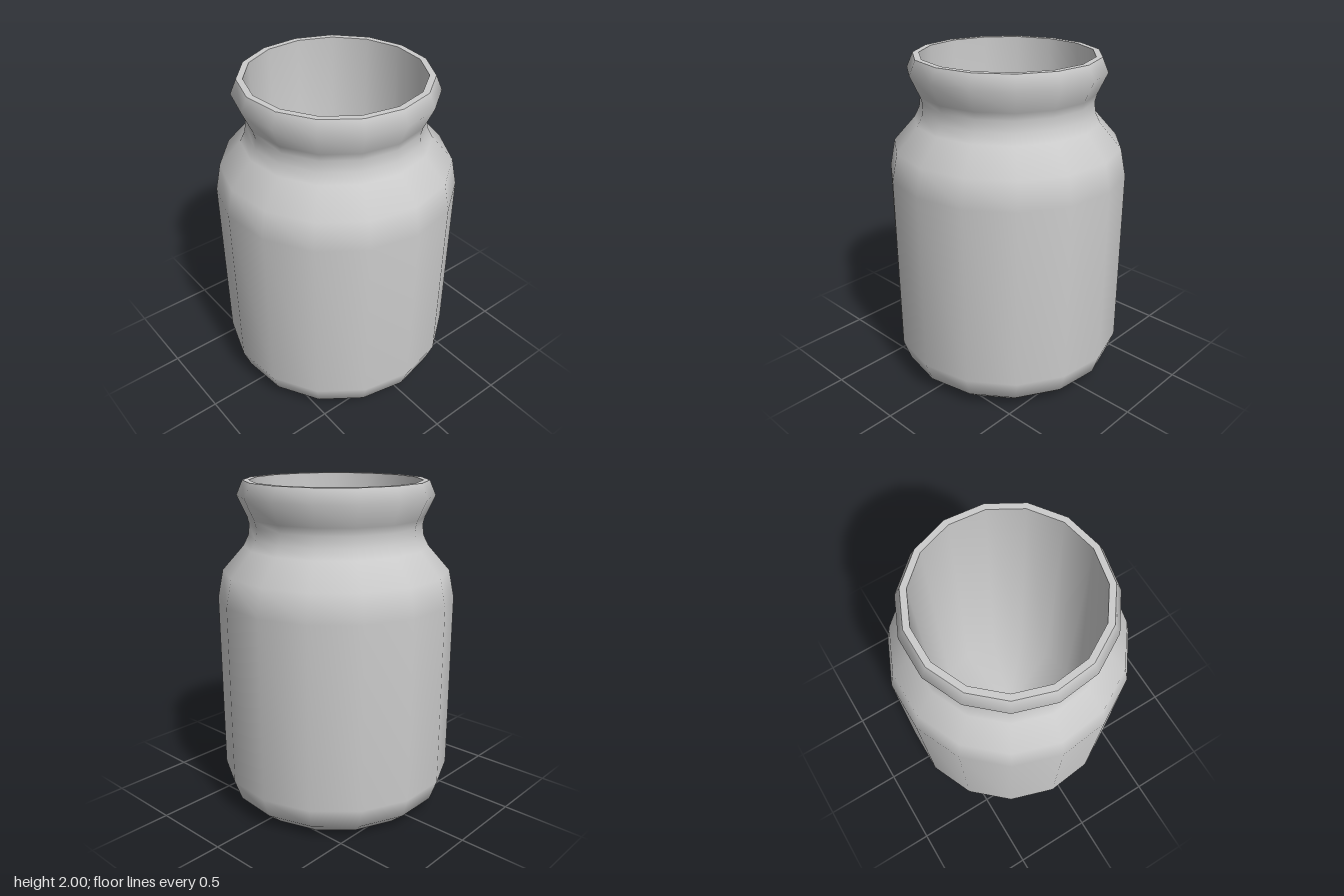
import * as THREE from 'three';

const SIDES = 15;

export function createModel() {
  const jar = new THREE.Group();
  jar.name = 'jar';
  const material = new THREE.MeshStandardMaterial({ color: 0xcccccc });

  const add = (name, geometry) => {
    const mesh = new THREE.Mesh(geometry, material);
    mesh.name = name;
    // an odd number of sides: shift so the bounds are centred
    mesh.position.x = -0.008;
    jar.add(mesh);
  };

  // Turn a [radius, height] profile, with one corner on +x
  const turn = (name, profile) => add(name, new THREE.LatheGeometry(
    profile.map(([r, y]) => new THREE.Vector2(r, y)), SIDES, Math.PI / 2));

  // Body, shoulder, neck and flared lip
  turn('outerWall', [
    [0.572, 0], [0.672, 0.085], [0.716, 0.21], [0.716, 1.31], [0.682, 1.475],
    [0.553, 1.62], [0.523, 1.68], [0.515, 1.745], [0.527, 1.79], [0.584, 1.915], [0.547, 2],
  ]);

  // Flat top of the lip
  turn('rim', [[0.547, 2], [0.51, 2]]);

  // Straight inside and its floor, softly shaded into each other
  turn('innerWall', [[0.51, 2], [0.51, 0.1], [0, 0.1]]);

  // Flat underside
  add('base', new THREE.CircleGeometry(0.572, SIDES).rotateX(Math.PI / 2));

  return jar;
}
